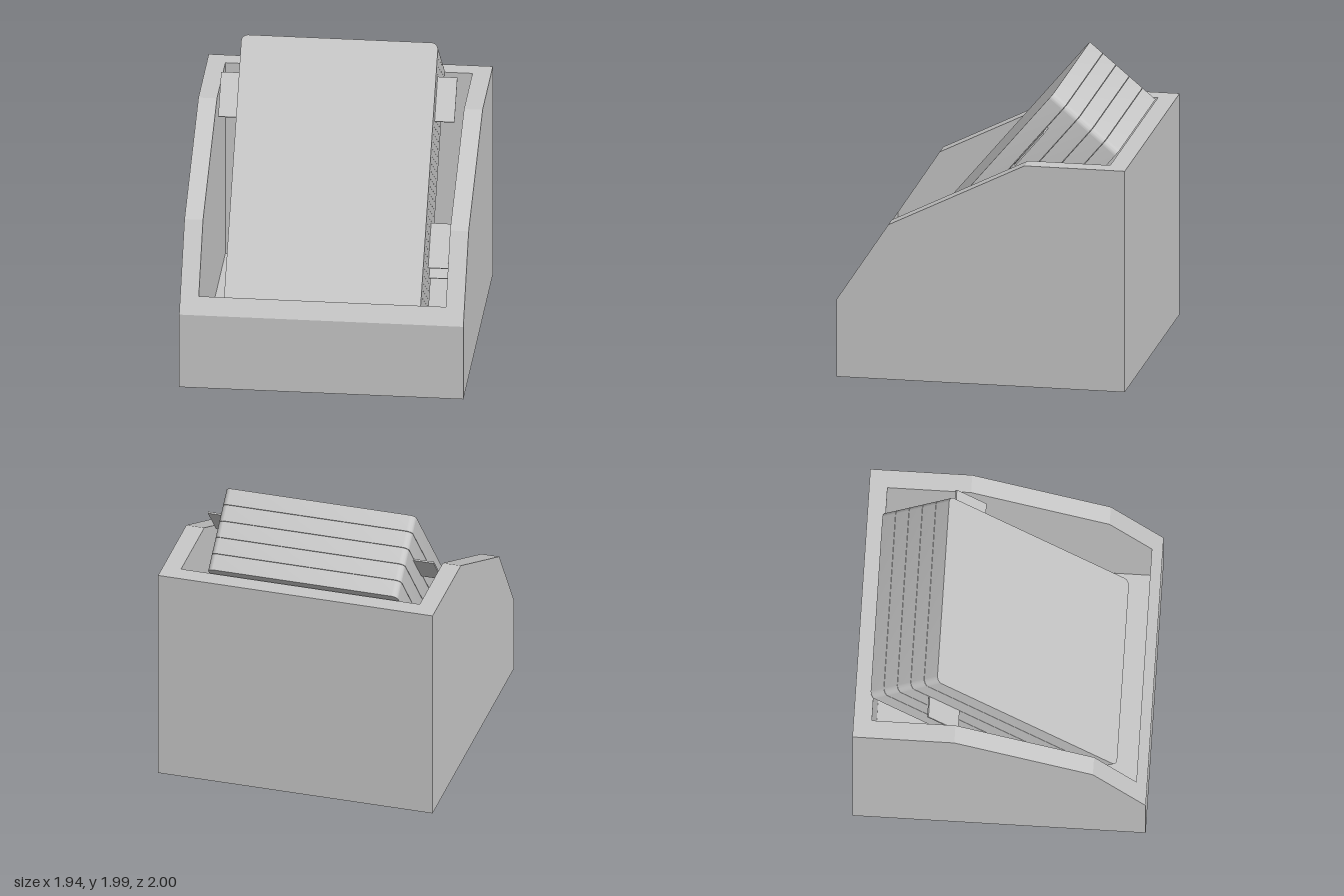
import * as THREE from 'three';
import { toCreasedNormals } from 'three/addons/utils/BufferGeometryUtils.js';

const grey = new THREE.MeshStandardMaterial({ color: 0xc8c8c8 });
grey.name = 'plain grey';

function part(name, geometry, parent) {
  const mesh = new THREE.Mesh(geometry, grey);
  mesh.name = name;
  parent.add(mesh);
  return mesh;
}

// Extrudes a (z, y) side profile across x0..x1
function acrossX(profile, x0, x1) {
  const shape = new THREE.Shape(profile.map(([z, y]) => new THREE.Vector2(z, y)));
  const g = new THREE.ExtrudeGeometry(shape, { depth: x1 - x0, bevelEnabled: false });
  return g.rotateY(-Math.PI / 2).translate(x1, 0, 0);
}

// Upright rounded panel: x0..x1, top edge at y = 0, front at z = 0
function panelGeometry(x0, x1, height, depth, r) {
  const s = new THREE.Shape();
  s.moveTo(x0 + r, -height);
  s.lineTo(x1 - r, -height);
  s.absarc(x1 - r, -height + r, r, -Math.PI / 2, 0);
  s.lineTo(x1, -r);
  s.absarc(x1 - r, -r, r, 0, Math.PI / 2);
  s.lineTo(x0 + r, 0);
  s.absarc(x0 + r, -r, r, Math.PI / 2, Math.PI);
  s.lineTo(x0, -height + r);
  s.absarc(x0 + r, -height + r, r, Math.PI, Math.PI * 1.5);
  const g = new THREE.ExtrudeGeometry(s, { depth, bevelEnabled: false, curveSegments: 8 });
  return toCreasedNormals(g.translate(0, 0, -depth), 0.6);
}

export function createModel() {
  const model = new THREE.Group();
  model.name = 'cardHolder';

  // Open tray with sloping sides
  const tray = new THREE.Group();
  tray.name = 'tray';
  model.add(tray);
  const W = 0.972, IN = 0.845, FLOOR = 0.13;
  const side = [[-1, 0], [1, 0], [1, 0.545], [0.64, 1.095], [-0.305, 1.565], [-1, 1.565]];
  part('leftWall', acrossX(side, IN, W), tray);
  part('rightWall', acrossX(side, -W, -IN), tray);
  part('frontWall', acrossX([[0.928, 0], [1, 0], [1, 0.545], [0.928, 0.655]], -IN, IN), tray);
  part('backWall', acrossX([[-1, 0], [-0.875, 0], [-0.875, 1.565], [-1, 1.565]], -IN, IN), tray);
  part('floor', acrossX([[-0.875, 0], [0.928, 0], [0.928, FLOOR], [-0.875, FLOOR]], -IN, IN), tray);

  // Leaning stack of thick cards, origin at the front top edge
  const stack = new THREE.Group();
  stack.name = 'cardStack';
  stack.position.set(0, 1.99, -0.44);
  stack.rotation.x = -THREE.MathUtils.degToRad(40);
  model.add(stack);
  const PITCH = 0.1195, X0 = -0.69, X1 = 0.655;
  const card = panelGeometry(X0, X1, 1.906, PITCH - 0.003, 0.045);
  for (let i = 0; i < 5; i++) {
    part('card' + (i + 1), card, stack).position.z = -i * PITCH;
  }

  // Thin index tabs: outer x, inner x, distance below the top, depth in the stack
  const tabs = [
    [0.79, X1, 0.207, 1],
    [-0.835, X0, 0.207, 2],
    [0.79, X1, 1.175, 3],
    [0.79, X1, 1.215, 4],
  ];
  for (const [xa, xb, drop, row] of tabs) {
    const inner = xb - Math.sign(xb) * 0.03;
    const tab = part('indexTab' + row, new THREE.BoxGeometry(Math.abs(xa - inner), 0.315, 0.012), stack);
    tab.position.set((xa + inner) / 2, -drop - 0.157, -row * PITCH - 0.005);
  }

  return model;
}
